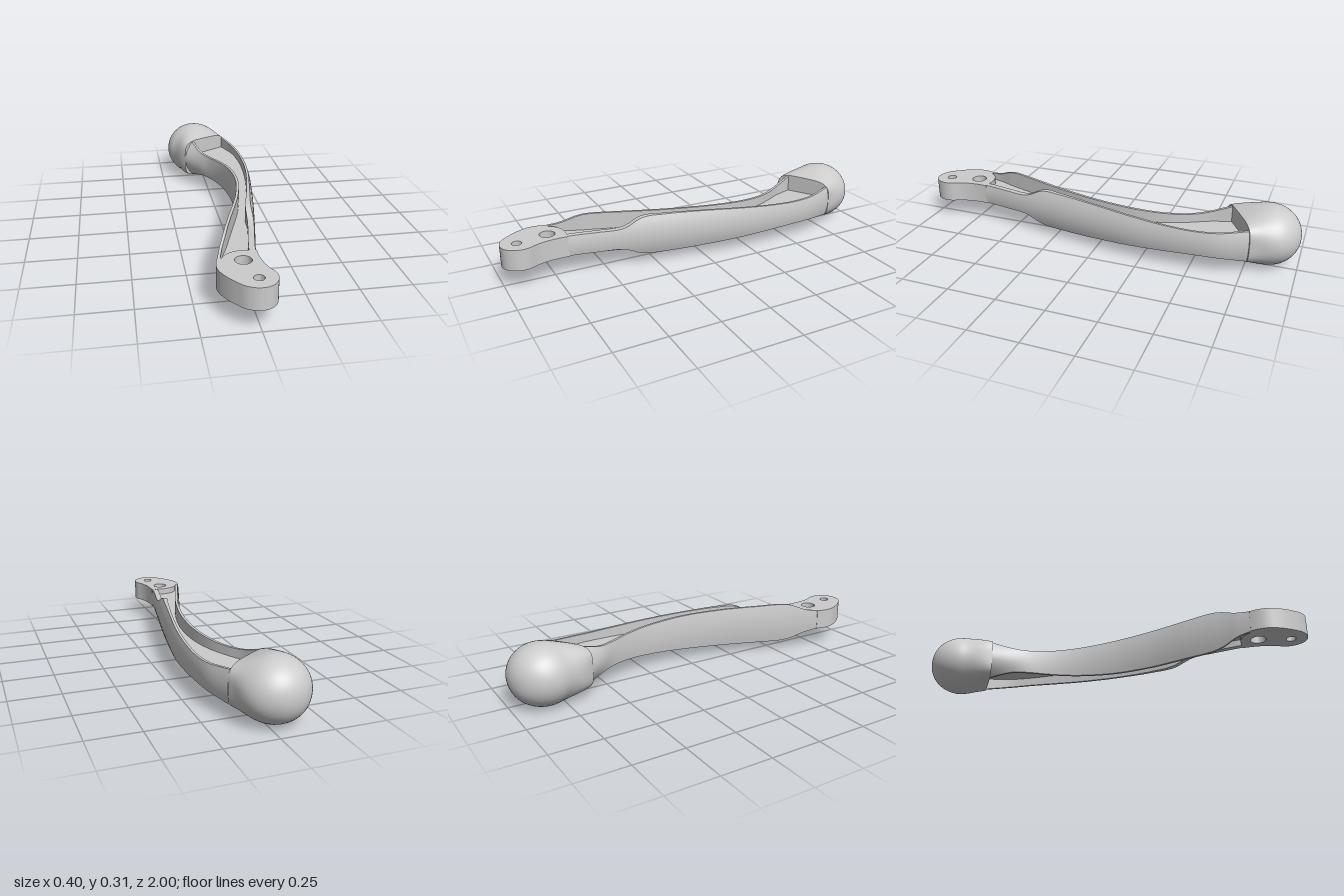
import * as THREE from 'three';
import { toCreasedNormals } from 'three/addons/utils/BufferGeometryUtils.js';

const MID = 0.153; // height of the symmetry plane
const { smoothstep } = THREE.MathUtils;
const material = new THREE.MeshStandardMaterial({ color: 0xcccccc });

// Skin closed rings of equal point count, optionally fanning the first ring shut
function loft(rings, capped) {
  const n = rings[0].length, pos = [], index = [];
  rings.forEach(r => r.forEach(p => pos.push(p.x, p.y, p.z)));
  for (let i = 0; i < rings.length - 1; i++) {
    for (let j = 0; j < n; j++) {
      const k = (j + 1) % n;
      const a = i * n + j, b = i * n + k, c = b + n, d = a + n;
      index.push(a, b, c, a, c, d);
    }
  }
  if (capped) {
    const centre = new THREE.Vector3();
    rings[0].forEach(p => centre.addScaledVector(p, 1 / n));
    const m = pos.length / 3;
    pos.push(centre.x, centre.y, centre.z);
    for (let j = 0; j < n; j++) index.push(m, (j + 1) % n, j);
  }
  const g = new THREE.BufferGeometry();
  g.setAttribute('position', new THREE.Float32BufferAttribute(pos, 3));
  g.setIndex(index);
  return toCreasedNormals(g, 0.5);
}

function add(group, name, geometry) {
  const mesh = new THREE.Mesh(geometry, material);
  mesh.name = name;
  group.add(mesh);
}

// Long I-section blade: each rail point is (x, z, half height of its wall)
function bladeGeometry() {
  const rail = pts => new THREE.CatmullRomCurve3(pts.map(p => new THREE.Vector3(...p)), false, 'centripetal');
  const inner = rail([
    [-0.147, 0.745, 0.052], [-0.128, 0.67, 0.066], [-0.105, 0.6, 0.094], [-0.09, 0.55, 0.104],
    [-0.042, 0.4, 0.104], [-0.011, 0.31, 0.103], [0.023, 0.2, 0.101], [0.064, 0, 0.094],
    [0.07, -0.2, 0.081], [0.045, -0.34, 0.07], [0, -0.45, 0.064], [-0.055, -0.53, 0.07], [-0.122, -0.62, 0.102]]);
  const outer = rail([
    [0.04, 0.69, 0.052], [0.045, 0.65, 0.052], [0.056, 0.59, 0.052], [0.066, 0.54, 0.052],
    [0.089, 0.42, 0.056], [0.108, 0.32, 0.097], [0.13, 0.2, 0.101], [0.163, 0, 0.094],
    [0.19, -0.2, 0.081], [0.2, -0.38, 0.069], [0.198, -0.52, 0.063], [0.185, -0.64, 0.066], [0.143, -0.779, 0.08]]);
  const rings = [], steps = 96, wallL = 0.014, web = 0.02, bow = 8;
  for (let i = 0; i <= steps; i++) {
    const t = i / steps, L = inner.getPoint(t), R = outer.getPoint(t);
    const w = Math.hypot(R.x - L.x, R.y - L.y);
    const bL = (1 + 4 * smoothstep(t, 0.8, 1)) * L.z * L.z;
    const bR = 2.2 * R.z * R.z;
    const wallR = 0.03 - 0.017 * smoothstep(t, 0.35, 0.6);
    const section = [];
    // bowed inner side, upper pocket, bowed outer side, lower pocket
    for (let j = 0; j <= bow; j++) {
      const f = j / bow * 2 - 1;
      section.push([bL * f * f, f * L.z]);
    }
    const a = bL + wallL, b = w - bR - wallR;
    section.push([a, L.z], [a, web], [b, web], [b, R.z]);
    for (let j = 0; j <= bow; j++) {
      const f = 1 - j / bow * 2;
      section.push([w - bR * f * f, f * R.z]);
    }
    section.push([b, -R.z], [b, -web], [a, -web], [a, -L.z]);
    rings.push(section.map(([u, y]) => new THREE.Vector3(
      L.x + (R.x - L.x) * u / w, MID + y, L.y + (R.y - L.y) * u / w)));
  }
  return loft(rings, false);
}

// Rounded ball end, swelling from a flat slanted face: (distance, half width, half height, squareness)
function ballGeometry() {
  const stations = [[0, 0.155, 0.108, 4], [0.024, 0.159, 0.118, 3.3], [0.048, 0.162, 0.127, 2.8],
    [0.072, 0.165, 0.136, 2.45], [0.096, 0.166, 0.144, 2.2], [0.12, 0.166, 0.1495, 2.07]];
  for (let i = 0; i <= 16; i++) {
    const a = i / 16 * Math.PI / 2, c = Math.max(Math.cos(a), 0.001);
    stations.push([0.141 + 0.165 * Math.sin(a), 0.165 * c, 0.1525 * c ** 0.92, 2]);
  }
  const dx = -0.525, dz = -0.851, n = 64;
  const rings = stations.map(([s, w, h, e]) => Array.from({ length: n }, (_, j) => {
    const a = j / n * Math.PI * 2, c = -Math.cos(a), v = Math.sin(a);
    const u = w * Math.sign(c) * Math.abs(c) ** (2 / e);
    const y = h * Math.sign(v) * Math.abs(v) ** (2 / e);
    // lower towards the outer side, and drifting outwards along the axis
    const taper = 1 - 0.05 * (u / 0.165) * Math.max(0, 1 - s / 0.3);
    const side = u + 0.03 * smoothstep(s, 0, 0.15);
    return new THREE.Vector3(0.01 + dx * s - dz * side, MID + y * taper, -0.7 + dz * s + dx * side);
  }));
  return loft(rings, true);
}

// Flat pivot head with two through holes, drawn as (x, -z)
function headGeometry() {
  const s = new THREE.Shape();
  s.moveTo(-0.146, -0.74);
  s.bezierCurveTo(-0.158, -0.78, -0.163, -0.82, -0.145, -0.86);
  s.bezierCurveTo(-0.125, -0.905, -0.105, -0.93, -0.082, -0.958);
  s.bezierCurveTo(-0.045, -1.005, 0.02, -1.012, 0.055, -0.977);
  s.bezierCurveTo(0.085, -0.945, 0.09, -0.9, 0.07, -0.865);
  s.bezierCurveTo(0.045, -0.82, 0.035, -0.76, 0.039, -0.682);
  s.lineTo(0.015, -0.684);
  s.quadraticCurveTo(-0.035, -0.668, -0.085, -0.693);
  s.quadraticCurveTo(-0.11, -0.708, -0.122, -0.732);
  s.closePath();
  for (const [x, z, r] of [[-0.035, 0.765, 0.038], [0, 0.92, 0.024]]) {
    s.holes.push(new THREE.Path().absarc(x, -z, r, 0, Math.PI * 2, true));
  }
  const g = new THREE.ExtrudeGeometry(s, { depth: 0.105, bevelEnabled: false, curveSegments: 20 });
  g.rotateX(-Math.PI / 2).translate(0, MID - 0.0525, 0);
  return toCreasedNormals(g, 0.6);
}

export function createModel() {
  const group = new THREE.Group();
  group.name = 'lever';
  add(group, 'blade', bladeGeometry());
  add(group, 'ballEnd', ballGeometry());
  add(group, 'pivotHead', headGeometry());
  return group;
}
